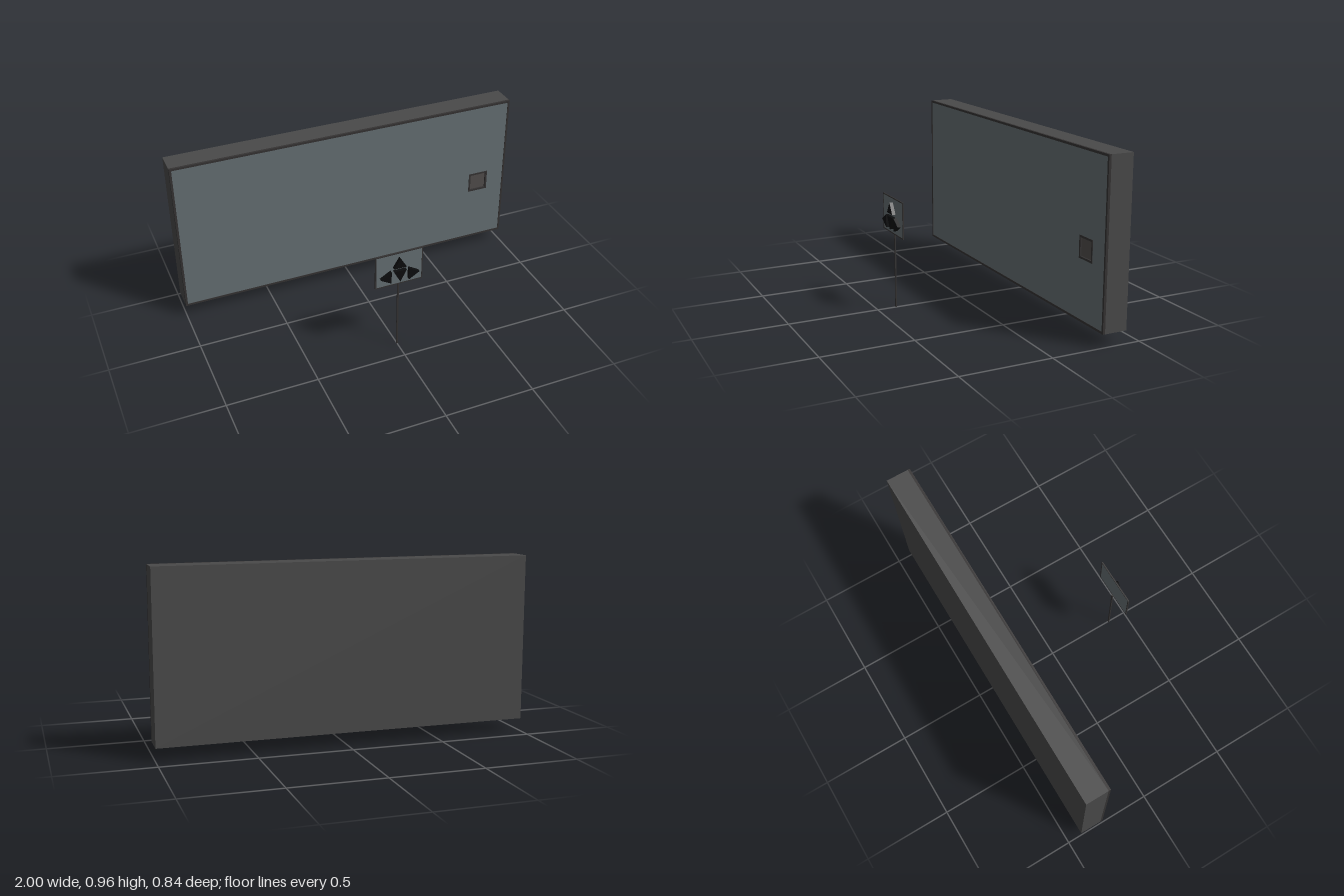
import * as THREE from 'three';

const mat = (color) => new THREE.MeshStandardMaterial({ color, side: THREE.DoubleSide });
const bodyMat = mat(0x4a4a4a), frameMat = mat(0x353333), glassMat = mat(0x667074);
const plateMat = mat(0x667074), arrowMat = mat(0x0c0d0e), hatchMat = mat(0x524e4d);

function add(parent, name, geometry, material, x = 0, y = 0, z = 0) {
  const mesh = new THREE.Mesh(geometry, material);
  mesh.name = name;
  mesh.position.set(x, y, z);
  parent.add(mesh);
  return mesh;
}

const extrude = (shape, depth) => new THREE.ExtrudeGeometry(shape, { depth, bevelEnabled: false });

// Rectangle outline centred on a point
function rect(w, h, x = 0, y = 0, Kind = THREE.Shape) {
  return new Kind([[-1, -1], [1, -1], [1, 1], [-1, 1]].map(
    ([i, j]) => new THREE.Vector2(x + i * w / 2, y + j * h / 2)));
}

// Rectangular frame with an open middle
function frame(w, h, border, depth) {
  const shape = rect(w, h);
  shape.holes.push(rect(w - 2 * border, h - 2 * border, 0, 0, THREE.Path));
  return extrude(shape, depth);
}

export function createModel() {
  const group = new THREE.Group();
  const W = 2, H = 0.895, cy = 0.5175;

  // Large wall panel: body, glazed front and its surround
  const panel = new THREE.Group();
  panel.name = 'wallPanel';
  panel.position.y = cy;
  group.add(panel);
  add(panel, 'body', new THREE.BoxGeometry(W, H, 0.125), bodyMat, 0, 0, -0.3575);
  add(panel, 'frontFrame', frame(W, H, 0.012, 0.013), frameMat, 0, 0, -0.295);

  const hx = 0.825, hy = 0.46 - cy, hs = 0.12;
  const glass = rect(W - 0.024, H - 0.024);
  glass.holes.push(rect(hs, hs, hx, hy, THREE.Path));
  add(panel, 'glass', extrude(glass, 0.011), glassMat, 0, 0, -0.295);

  // Small recessed hatch in the glass
  add(panel, 'hatchFrame', frame(hs, hs, 0.011, 0.013), frameMat, hx, hy, -0.295);
  add(panel, 'hatch', new THREE.BoxGeometry(hs - 0.02, hs - 0.02, 0.004), hatchMat, hx, hy, -0.293);

  // Free-standing sign on a thin pole
  const sign = new THREE.Group();
  sign.name = 'sign';
  group.add(sign);
  add(sign, 'pole', new THREE.BoxGeometry(0.009, 0.425, 0.007), frameMat, 0, 0.2125, 0.393);
  add(sign, 'plate', new THREE.BoxGeometry(0.262, 0.192, 0.005), plateMat, 0, 0.516, 0.4);
  add(sign, 'plateFrame', frame(0.27, 0.2, 0.006, 0.007), frameMat, 0, 0.516, 0.3965);

  // Four raised triangular arrows
  const arrows = {
    upArrow: [[-0.036, 0.53], [0.036, 0.53], [0, 0.59]],
    downArrow: [[-0.036, 0.512], [0, 0.443], [0.036, 0.512]],
    rightArrow: [[-0.11, 0.479], [-0.05, 0.443], [-0.05, 0.515]],
    leftArrow: [[0.11, 0.479], [0.05, 0.515], [0.05, 0.443]],
  };
  for (const [name, points] of Object.entries(arrows)) {
    const shape = new THREE.Shape(points.map(([x, y]) => new THREE.Vector2(x, y)));
    add(sign, name, extrude(shape, 0.02), arrowMat, 0, 0, 0.402);
  }
  return group;
}
